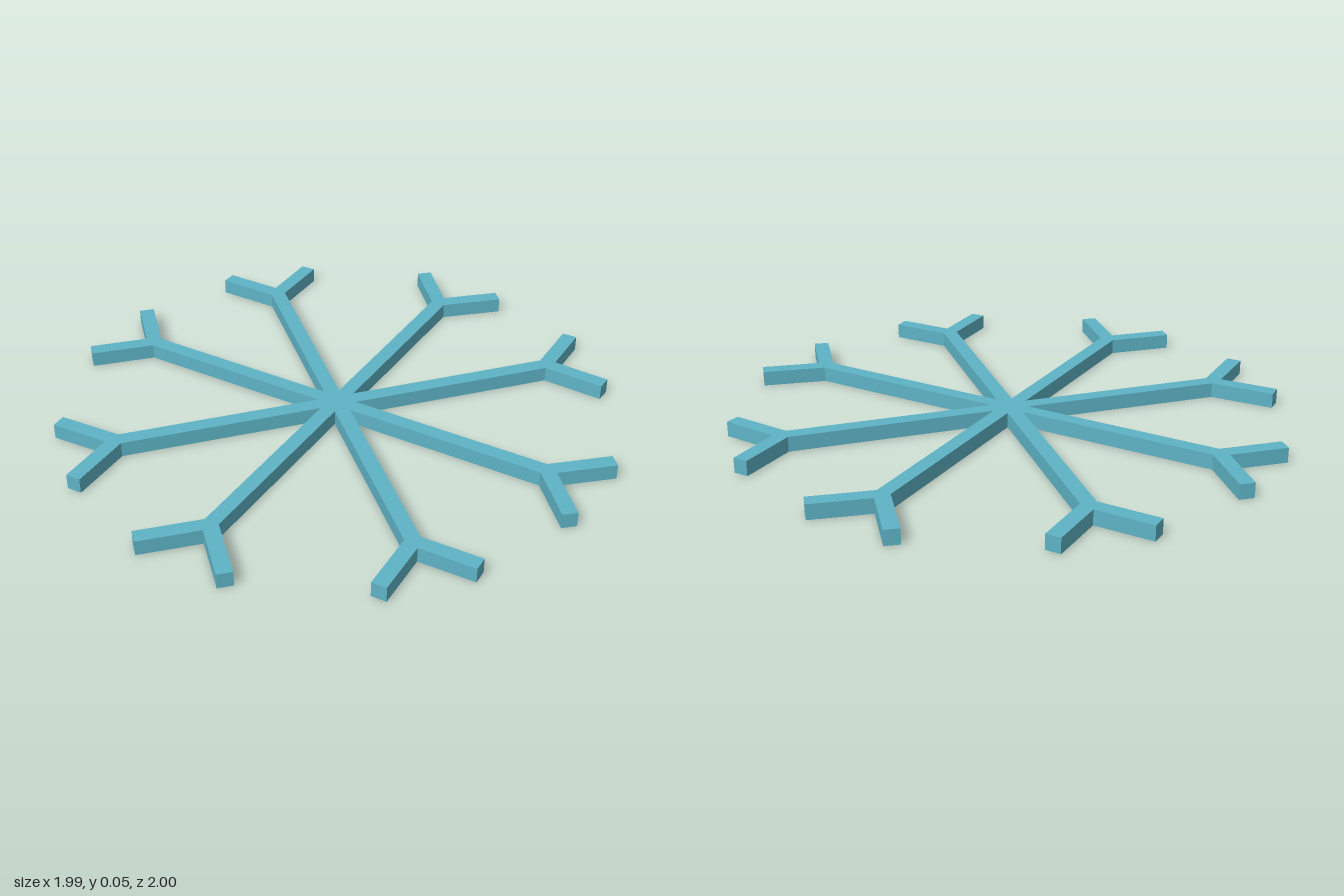
import * as THREE from 'three';

const HALF_WIDTH = 0.027;
const THICKNESS = 0.055;
const CENTRE = [-0.01, 0];

// Arms anticlockwise from above: fork point, right tip, left tip, each as x, z
const ARMS = [
  [[0.805, -0.003], [0.955, 0.18], [0.975, -0.16]],
  [[0.585, -0.545], [0.825, -0.52], [0.61, -0.785]],
  [[-0.01, -0.81], [0.165, -0.97], [-0.17, -0.985]],
  [[-0.555, -0.59], [-0.54, -0.83], [-0.795, -0.6]],
  [[-0.805, 0], [-0.98, -0.17], [-0.98, 0.17]],
  [[-0.6, 0.54], [-0.845, 0.53], [-0.61, 0.785]],
  [[-0.01, 0.81], [-0.18, 0.975], [0.15, 0.975]],
  [[0.54, 0.595], [0.515, 0.835], [0.78, 0.62]],
];

// Outward (right-hand) normal of the step from a to b
function normal(a, b) {
  const d = b.clone().sub(a).normalize();
  return new THREE.Vector2(d.y, -d.x);
}

// Walks along every branch and back, offsetting to the right with mitred corners and square tips
function outline(path) {
  const points = [];
  path.forEach((p, i) => {
    const n1 = normal(path[(i + path.length - 1) % path.length], p);
    const n2 = normal(p, path[(i + 1) % path.length]);
    const dot = n1.dot(n2);
    if (dot < -0.999) {
      points.push(p.clone().addScaledVector(n1, HALF_WIDTH), p.clone().addScaledVector(n2, HALF_WIDTH));
    } else {
      points.push(p.clone().addScaledVector(n1.add(n2), HALF_WIDTH / (1 + dot)));
    }
  });
  return points;
}

export function createModel() {
  const model = new THREE.Group();
  model.name = 'snowflake';

  // Skeleton path: centre, fork, right tip, fork, left tip, fork, then the next arm
  const path = ARMS.flatMap(([fork, right, left]) => [CENTRE, fork, right, fork, left, fork])
    .map(([x, z]) => new THREE.Vector2(x, -z));

  // Eight forked arms as one flat slab
  const geometry = new THREE.ExtrudeGeometry(new THREE.Shape(outline(path)), {
    depth: THICKNESS,
    bevelEnabled: false,
  });
  geometry.rotateX(-Math.PI / 2);

  const arms = new THREE.Mesh(geometry, new THREE.MeshStandardMaterial({ color: 0x5fb4c6 }));
  arms.name = 'forkedArms';
  model.add(arms);
  return model;
}
